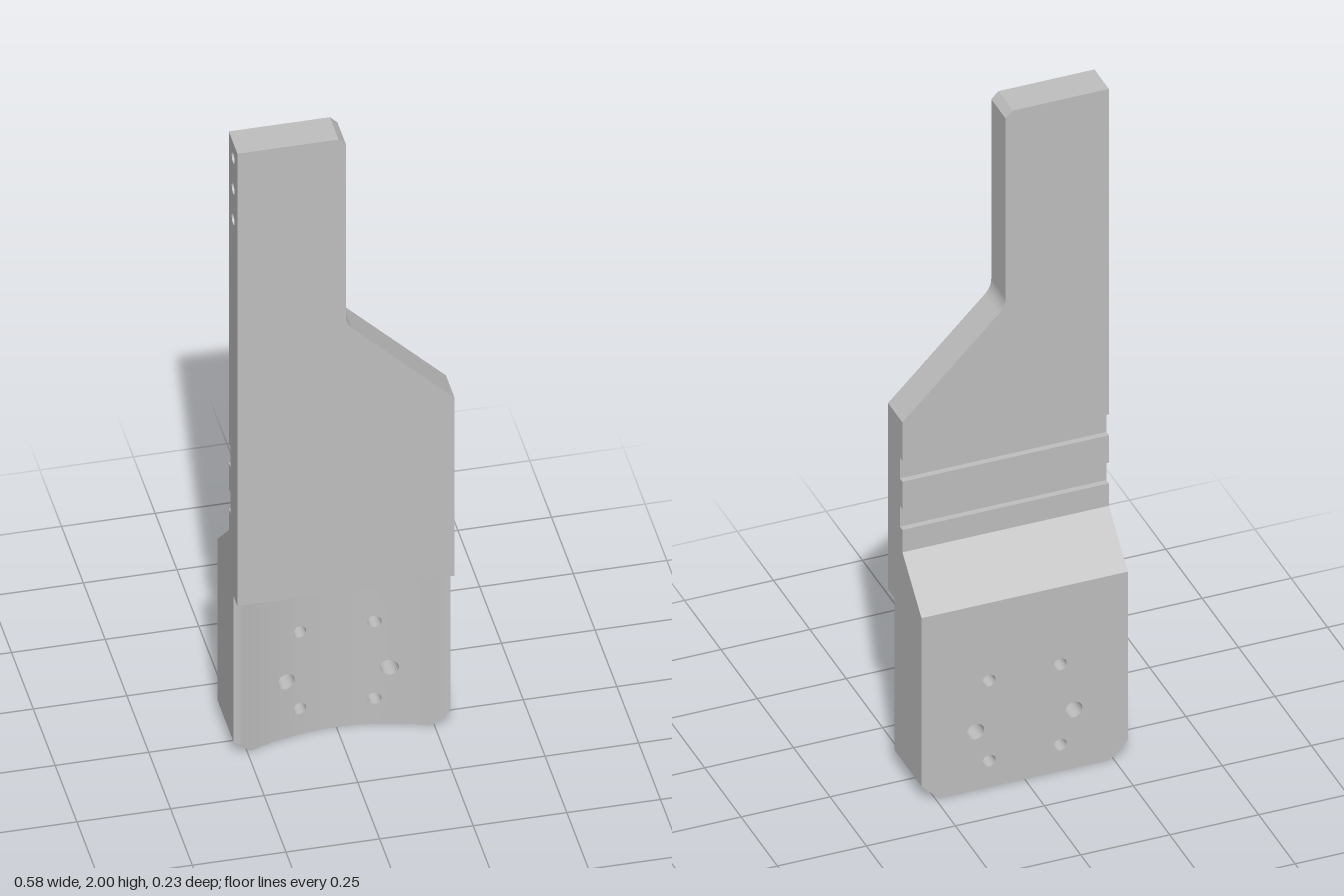
import * as THREE from 'three';
import { mergeGeometries } from 'three/addons/utils/BufferGeometryUtils.js';

const W = 0.29, BACK = -0.115, FRONT = 0.115, PLATE_BACK = 0.016, GROOVE = 0.033, SEAT = 0.525;
const v2 = (x, y) => new THREE.Vector2(x, y);

// Front surface of the saddle: concave arc with softened lips
function saddleZ(x) {
  const a = Math.abs(x), arc = t => 0.604 - Math.sqrt(0.36 - t * t);
  if (a <= 0.26) return arc(a);
  const t = (a - 0.26) / (W - 0.26);
  return arc(0.26) + (0.07 - arc(0.26)) * (2 * t - t * t);
}
// Bottom edge with chamfered corners
const bottomY = x => Math.max(0, Math.abs(x) - 0.24);

// Plate outline above a given height, leaving room for the drilled edge slab
function plateShape(bottom) {
  const s = new THREE.Shape();
  s.moveTo(-W, bottom);
  s.lineTo(W, bottom);
  s.lineTo(W, 1.105);
  s.lineTo(0.02, 1.375);
  s.quadraticCurveTo(0, 1.395, 0, 1.42);
  s.lineTo(0, 1.98);
  s.lineTo(-0.02, 2);
  s.lineTo(-0.19, 2);
  s.lineTo(-0.19, 1.65);
  s.lineTo(-W, 1.65);
  s.closePath();
  return s;
}

// Extrude a (-z, y) profile along x
function extrudeX(shape, x0, x1) {
  const g = new THREE.ExtrudeGeometry(shape, { depth: x1 - x0, bevelEnabled: false, curveSegments: 20 });
  return g.rotateY(Math.PI / 2).translate(x0, 0, 0);
}

// Walls running from the saddle surface to the back along a path
function walls(path) {
  const pos = [];
  for (let i = 0; i < path.length - 1; i++) {
    const a = path[i], b = path[i + 1];
    const af = [a.x, a.y, saddleZ(a.x)], bf = [b.x, b.y, saddleZ(b.x)];
    const ab = [a.x, a.y, BACK], bb = [b.x, b.y, BACK];
    pos.push(...af, ...ab, ...bb, ...af, ...bb, ...bf);
  }
  const g = new THREE.BufferGeometry();
  g.setAttribute('position', new THREE.Float32BufferAttribute(pos, 3));
  g.computeVertexNormals();
  return g;
}

export function createModel() {
  const group = new THREE.Group();
  const steel = new THREE.MeshStandardMaterial({ color: 0xbfbfbf });
  steel.name = 'plain grey';
  const add = (name, geometry) => {
    const m = new THREE.Mesh(geometry, steel);
    m.name = name;
    group.add(m);
  };
  const extrudeZ = (shape, z0, z1) =>
    new THREE.ExtrudeGeometry(shape, { depth: z1 - z0, bevelEnabled: false, curveSegments: 8 }).translate(0, 0, z0);

  // Main plate, with its back layer interrupted by two grooves
  add('plate', extrudeZ(plateShape(SEAT), GROOVE, FRONT));
  add('plateBackUpper', extrudeZ(plateShape(0.985), PLATE_BACK, GROOVE));
  const rib = new THREE.BoxGeometry(2 * W, 0.085, GROOVE - PLATE_BACK);
  add('rib', rib.translate(0, 0.8775, (GROOVE + PLATE_BACK) / 2));

  // Arm edge with three blind holes
  const edge = new THREE.Shape([v2(-FRONT, 1.65), v2(-PLATE_BACK, 1.65), v2(-PLATE_BACK, 2), v2(-FRONT, 2)]);
  for (const y of [1.75, 1.85, 1.95]) {
    edge.holes.push(new THREE.Path().absarc(-0.0655, y, 0.016, 0, Math.PI * 2, true));
  }
  add('drilledArmEdge', extrudeX(edge, -W, -0.19));

  // Sloped shoulder between plate and saddle block
  const shoulder = new THREE.Shape([
    v2(-GROOVE, SEAT), v2(-BACK, SEAT), v2(-BACK, 0.575),
    v2(-PLATE_BACK, 0.70), v2(-PLATE_BACK, 0.77), v2(-GROOVE, 0.77),
  ]);
  add('shoulder', extrudeX(shoulder, -W, W));

  // Mounting holes, mirrored left and right
  const holes = [];
  for (const side of [-1, 1]) {
    for (const [x, y, r] of [[0.1, 0.333, 0.018], [0.138, 0.183, 0.024], [0.1, 0.083, 0.018]]) {
      const points = [];
      for (let i = 0; i <= 24; i++) {
        const a = -i / 24 * Math.PI * 2;
        points.push(v2(side * x + r * Math.cos(a), y + r * Math.sin(a)));
      }
      holes.push({ x: side * x, points });
    }
  }
  const holePath = h => new THREE.Path(h.points.slice(0, -1));

  // Saddle front, in vertical strips following the arc
  const half = [0.04, 0.08, 0.168, 0.205, 0.24, 0.26, 0.27, 0.28, W];
  const xs = [...half.map(x => -x).reverse(), 0, ...half];
  const strips = [];
  for (let i = 0; i < xs.length - 1; i++) {
    const a = xs[i], b = xs[i + 1];
    const s = new THREE.Shape([v2(a, bottomY(a)), v2(b, bottomY(b)), v2(b, SEAT), v2(a, SEAT)]);
    s.holes = holes.filter(h => h.x > a && h.x < b).map(holePath);
    const g = new THREE.ShapeGeometry(s);
    const p = g.attributes.position, n = g.attributes.normal;
    for (let k = 0; k < p.count; k++) {
      const x = p.getX(k);
      p.setZ(k, saddleZ(x));
      const slope = (saddleZ(x + 0.001) - saddleZ(x - 0.001)) / 0.002;
      const len = Math.hypot(slope, 1);
      n.setXYZ(k, -slope / len, 0, 1 / len);
    }
    strips.push(g);
  }
  add('saddleFront', mergeGeometries(strips));

  // Saddle sides, bottom and hole walls
  const rim = [v2(-W, SEAT), ...xs.map(x => v2(x, bottomY(x))), v2(W, SEAT)];
  add('saddleSides', walls(rim));
  add('mountingHoles', mergeGeometries(holes.map(h => walls(h.points))));

  // Saddle back
  const back = new THREE.Shape([v2(-W, SEAT), v2(-W, 0.05), v2(-0.24, 0), v2(0.24, 0), v2(W, 0.05), v2(W, SEAT)]);
  back.holes = holes.map(holePath);
  add('saddleBack', new THREE.ShapeGeometry(back).rotateY(Math.PI).translate(0, 0, BACK));

  return group;
}
